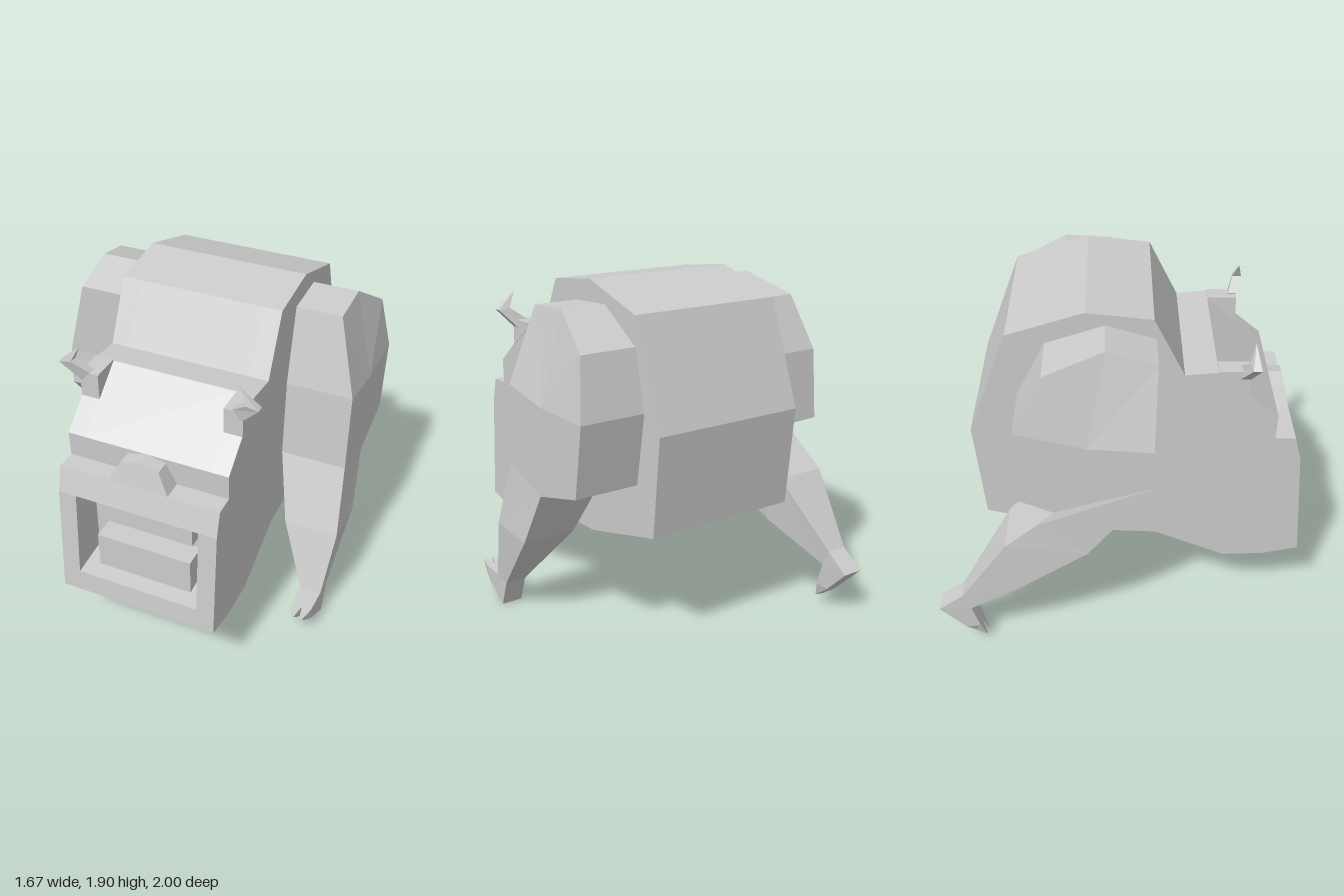
import * as THREE from 'three';

const stone = new THREE.MeshStandardMaterial({ color: 0xcccccc });
stone.name = 'plain grey';

function mesh(name, geometry) {
  const m = new THREE.Mesh(geometry, stone);
  m.name = name;
  return m;
}

// Flat-faced geometry from corner loops; side -1 mirrors it across x.
function facets(polys, side) {
  const out = [];
  for (const poly of polys) {
    const p = side < 0 ? [...poly].reverse() : poly;
    for (let i = 1; i < p.length - 1; i++) {
      for (const [x, y, z] of [p[0], p[i], p[i + 1]]) out.push(x * side, y, z);
    }
  }
  const g = new THREE.BufferGeometry();
  g.setAttribute('position', new THREE.Float32BufferAttribute(out, 3));
  g.computeVertexNormals();
  return g;
}

// Skin over four-cornered rings, closed at both ends.
function loft(rings, side) {
  const polys = [rings[0], [...rings[rings.length - 1]].reverse()];
  for (let r = 0; r < rings.length - 1; r++) {
    const a = rings[r], b = rings[r + 1];
    for (let i = 0; i < 4; i++) {
      const j = (i + 1) % 4;
      polys.push([b[i], b[j], a[j], a[i]]);
    }
  }
  return facets(polys, side);
}

// Side profile of [z, y] points, extruded across x.
function slab(profile, x0, x1) {
  const shape = new THREE.Shape(profile.map(([z, y]) => new THREE.Vector2(z, y)));
  const g = new THREE.ExtrudeGeometry(shape, { depth: x1 - x0, bevelEnabled: false });
  return g.rotateY(-Math.PI / 2).translate(x1, 0, 0);
}

function box(name, w, y0, y1, z0, z1) {
  const g = new THREE.BoxGeometry(w, y1 - y0, z1 - z0);
  return mesh(name, g.translate(0, (y0 + y1) / 2, (z0 + z1) / 2));
}

// Swings a [z, y] point backwards by an angle, then shifts it.
const swing = (deg, dz, dy) => ([z, y, ...rest]) => {
  const c = Math.cos(deg * Math.PI / 180), s = Math.sin(deg * Math.PI / 180);
  return [c * z + s * y + dz, c * y - s * z + dy, ...rest];
};
const stay = p => p;

// Ring from a front and a back [z, y] point and an x range.
const ring = (f, b, xi, xo) => [
  [xi, f[1], f[0]], [xo, f[1], f[0]], [xo, b[1], b[0]], [xi, b[1], b[0]],
];

// Shoulder block, forearm, foot and claws.
function limb(name, side, hip, foot, elbow, forearm) {
  const g = new THREE.Group();
  g.name = name;
  const rim = [
    ...[[-0.05, 1.785, 0.695], [-0.315, 1.8, 0.695], [-0.585, 1.63, 0.76],
      [-0.66, 1.31, 0.81], [-0.6, 0.92, 0.81]].map(hip),
    [...elbow.back, 0.81], [...elbow.front, 0.81], hip([0.04, 1.365, 0.81]),
  ];
  const mid = hip([-0.29, 1.31]);
  const outer = rim.map(([z, y, x]) => [x, y, z]);
  const inner = rim.map(([z, y]) => [0.43, y, z]);
  const polys = [inner];
  outer.forEach((o, i) => {
    const j = (i + 1) % outer.length;
    polys.push([[0.81, mid[1], mid[0]], outer[j], o], [o, outer[j], inner[j], inner[i]]);
  });
  g.add(mesh('shoulder', facets(polys, side)));

  const [ankle, instep, heel] = [[0.295, 0.175], [0.195, 0.16], [0.25, 0.005]].map(foot);
  const [toeTop, toeLow] = [[0.44, 0.175], [0.42, 0.095]].map(foot);
  const [tipTop, tipLow] = [[0.53, 0.175], [0.48, 0.125]].map(foot);
  g.add(mesh('forearm', loft([
    ring(elbow.front, elbow.back, 0.445, 0.81), ...forearm, ring(ankle, instep, 0.68, 0.8),
  ], side)));
  g.add(mesh('foot', loft([
    ring(ankle, instep, 0.68, 0.8), ring(ankle, heel, 0.68, 0.8), ring(toeTop, toeLow, 0.685, 0.795),
  ], side)));
  for (const [a, b, t] of [[0.685, 0.74, 0.715], [0.74, 0.795, 0.765]]) {
    g.add(mesh('claw', loft([
      ring(toeTop, toeLow, a, b), ring(tipTop, tipLow, t - 0.008, t + 0.008),
    ], side)));
  }
  return g;
}

function horn(side) {
  const g = new THREE.Group();
  g.name = side > 0 ? 'leftHorn' : 'rightHorn';
  const base = x => [[x, 1.54, 0.49], [x, 1.42, 0.655], [x, 1.57, 0.655], [x, 1.572, 0.49]];
  g.add(mesh('hornBase', loft([base(0.345), base(0.447)], side)));
  const tip = [0.43, 1.73, 0.67];
  g.add(mesh('hornPoint', loft([
    [[0.44, 1.52, 0.6], [0.44, 1.52, 0.655], [0.39, 1.575, 0.655], [0.39, 1.575, 0.61]],
    [[0.54, 1.63, 0.65], [0.54, 1.63, 0.695], [0.475, 1.64, 0.69], [0.475, 1.64, 0.64]],
    [tip, tip, tip, tip],
  ], side)));
  return g;
}

export function createModel() {
  const model = new THREE.Group();
  model.name = 'hornedBeast';

  // Body: solid cheeks either side of a middle with the mouth cut in.
  const back = [[0.957, 1.015], [0.92, 1.155], [0.81, 1.155], [0.815, 1.295], [0.49, 1.565],
    [0.32, 1.55], [0.16, 1.87], [-0.18, 1.91], [-0.58, 1.785], [-0.79, 1.22],
    [-0.74, 0.675], [-0.18, 0.53], [0.19, 0.51], [0.575, 0.34], [0.8, 0.345], [1, 0.39]];
  const mouth = [[0.991, 0.515], [0.77, 0.535], [0.77, 1.015]];
  model.add(mesh('leftFlank', slab(back, 0.345, 0.445)));
  model.add(mesh('rightFlank', slab(back, -0.445, -0.345)));
  model.add(mesh('body', slab([...back, ...mouth], -0.345, 0.345)));
  model.add(box('upperTeeth', 0.54, 0.825, 1.015, 0.76, 0.87));
  model.add(box('lowerTeeth', 0.54, 0.515, 0.73, 0.76, 0.9));

  // Nose with a front that leans back towards the top.
  const nose = new THREE.ExtrudeGeometry(new THREE.Shape(
    [[-0.165, 1.15], [0.165, 1.15], [0.105, 1.27], [0, 1.295], [-0.105, 1.27]]
      .map(([x, y]) => new THREE.Vector2(x, y))), { depth: 0.12, bevelEnabled: false });
  nose.translate(0, 0, 0.8);
  const p = nose.attributes.position;
  for (let i = 0; i < p.count; i++) {
    if (p.getZ(i) > 0.9) p.setZ(i, 0.92 - (p.getY(i) - 1.15) * 0.21);
  }
  nose.computeVertexNormals();
  model.add(mesh('nose', nose));

  model.add(horn(1), horn(-1));

  // Left limb reaches forward, right limb is swung back in mid-stride.
  model.add(limb('leftLimb', 1, stay, stay,
    { front: [0.06, 0.92], back: [-0.255, 0.83] },
    [ring([0.19, 0.54], [-0.105, 0.52], 0.53, 0.835)]));
  model.add(limb('rightLimb', -1, swing(14, -0.21, 0.018), swing(73.5, -1.076, 0.503),
    { front: [0.17, 1.115], back: [-0.35, 0.96] },
    [ring([-0.18, 0.685], [-0.44, 0.88], 0.46, 0.82),
      ring([-0.52, 0.475], [-0.607, 0.75], 0.53, 0.835)]));
  return model;
}
